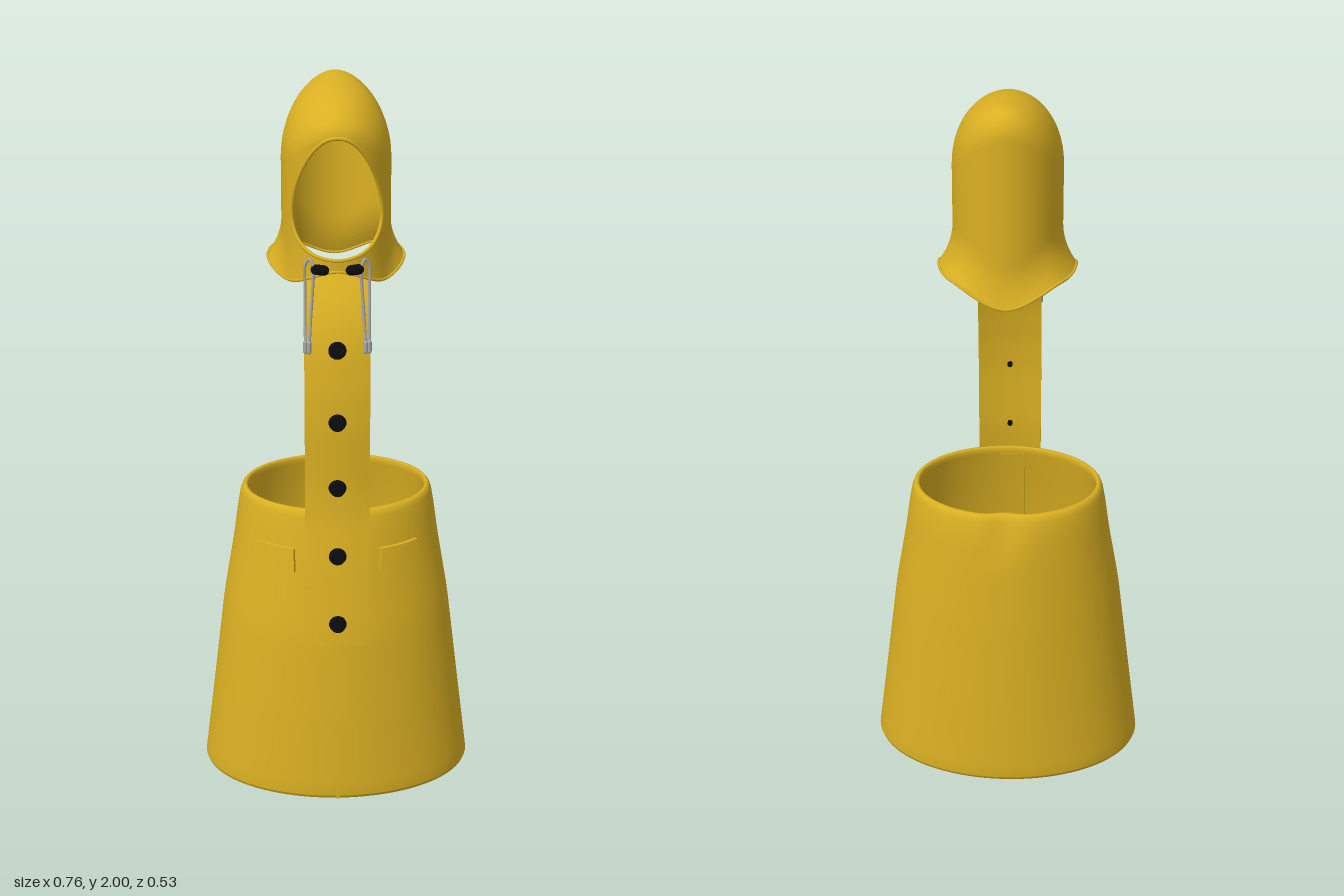
import * as THREE from 'three';
import { mergeVertices } from 'three/addons/utils/BufferGeometryUtils.js';

const mat = (name, color, side = THREE.FrontSide) => {
  const m = new THREE.MeshStandardMaterial({ color, side });
  m.name = name;
  return m;
};

// Smooth lookup in a table of [key, value] rows
function track(t, rows, smooth = false) {
  if (t <= rows[0][0]) return rows[0][1];
  for (let i = 1; i < rows.length; i++) {
    const [k0, v0] = rows[i - 1], [k1, v1] = rows[i];
    if (t <= k1) {
      let f = (t - k0) / (k1 - k0);
      if (smooth) f = f * f * (3 - 2 * f);
      return v0 + (v1 - v0) * f;
    }
  }
  return rows[rows.length - 1][1];
}

// Surface from a grid of points; coincident seam points are welded
function loft(rows) {
  const n = rows[0].length, pos = [], idx = [];
  rows.forEach(r => r.forEach(p => pos.push(...p)));
  for (let j = 0; j < rows.length - 1; j++) {
    for (let i = 0; i < n - 1; i++) {
      const a = j * n + i, b = a + 1, c = b + n, d = a + n;
      idx.push(a, b, c, a, c, d);
    }
  }
  let g = new THREE.BufferGeometry();
  g.setAttribute('position', new THREE.Float32BufferAttribute(pos, 3));
  g.setIndex(idx);
  g = mergeVertices(g, 1e-4);
  g.computeVertexNormals();
  return g;
}

// Skirt outline: half width, front depth and back depth by height
const RX = [[0, 0.38], [0.25, 0.349], [0.53, 0.315], [0.7, 0.286], [0.8, 0.272], [0.84, 0.265], [0.86, 0.258]];
const ZF = [[0, 0.267], [0.25, 0.255], [0.5, 0.238], [0.7, 0.208], [0.8, 0.192], [0.84, 0.184], [0.86, 0.176]];
const ZB = [[0, 0.265], [0.25, 0.256], [0.5, 0.246], [0.7, 0.235], [0.8, 0.226], [0.84, 0.217], [0.86, 0.208]];

function skirtPoint(a, y, out = 0) {
  const zf = track(y, ZF), zb = track(y, ZB);
  const back = Math.PI - Math.abs(a);
  const dent = 0.014 * Math.exp(-((back / 0.16) ** 2)) * track(y, [[0.7, 0], [0.84, 1]], true);
  return [Math.sin(a) * (track(y, RX) + out), y,
    (zf - zb) / 2 + Math.cos(a) * ((zf + zb) / 2 + out) + dent];
}

// Bend a box over the skirt surface: x span, y span, offset span
function skirtPatch(x0, x1, y0, y1, o0, o1) {
  const g = new THREE.BoxGeometry(1, 1, 1, 8, 10, 1), p = g.attributes.position;
  for (let i = 0; i < p.count; i++) {
    const x = x0 + (x1 - x0) * (p.getX(i) + 0.5);
    const y = y0 + (y1 - y0) * (p.getY(i) + 0.5);
    const a = Math.asin(x / track(y, RX));
    p.setXYZ(i, ...skirtPoint(a, y, o0 + (o1 - o0) * (p.getZ(i) + 0.5)));
  }
  g.computeVertexNormals();
  return g;
}

function skirtGeometry() {
  const profile = [[0.008, -0.004], [0.012, 0]];
  for (let i = 1; i <= 20; i++) profile.push([0.012 + 0.828 * i / 20, 0]);
  profile.push([0.852, 0], [0.859, -0.003], [0.86, -0.009], [0.855, -0.015], [0.84, -0.02]);
  for (let i = 1; i <= 8; i++) profile.push([0.84 - 0.83 * i / 8, -0.015]);
  profile.push([0.002, -0.014], [0, -0.009], [0.002, -0.005], [0.008, -0.004]);
  return loft(profile.map(([y, o]) => {
    const row = [];
    for (let i = 0; i <= 96; i++) row.push(skirtPoint(-Math.PI + i / 96 * 2 * Math.PI, y, o));
    return row;
  }));
}

// Hood: open face, flared collar and slanted dome
const PI = Math.PI;
const BOTTOM = [[0, 1.54], [0.33 * PI, 1.495], [0.55 * PI, 1.53], [0.7 * PI, 1.527], [PI, 1.473]];
const FLARE = [[0, 0], [0.3 * PI, 0.006], [0.52 * PI, 0.037], [0.65 * PI, 0.04], [PI, 0.02]];
const HX = 0.144, HZ = 0.166;

function hoodPoint(a, v, dome) {
  const t = Math.abs(a > PI ? a - 2 * PI : a), c = Math.cos(a);
  const bot = track(t, BOTTOM, true);
  const top = 1.8 + (c > 0 ? 0.095 : 0.13) * c * c;
  let y = bot + (top - bot) * v;
  const flare = track(t, FLARE, true) * Math.max(0, 1 - (y - bot) / 0.11) ** 2;
  const s = Math.cos(dome), apex = -0.11 * (1 - s);
  y += (2.0 - top) * Math.sin(dome);
  return [Math.sin(a) * (HX + flare) * s, y, c * (HZ + flare) * s + apex];
}

function hoodParts() {
  const rows = [], left = [], right = [];
  const addRow = (v, open, dome = 0) => {
    const row = [];
    for (let i = 0; i <= 72; i++) row.push(hoodPoint(open + i / 72 * (2 * PI - 2 * open), v, dome));
    rows.push(row);
    return row;
  };
  const v0 = 0.085;
  [0, 0.02, 0.04, 0.063].forEach(v => addRow(v, 0));
  for (let i = 0; i <= 28; i++) {
    const u = -Math.cos(i / 28 * PI);
    const w = 0.117 * Math.max(0, 1 - u * u) ** (u < 0 ? 0.58 : 0.45);
    const row = addRow(v0 + (1 - v0) * (u + 1) / 2, Math.asin(w / HX));
    left.push(new THREE.Vector3(...row[0]));
    right.push(new THREE.Vector3(...row[72]));
  }
  for (let i = 1; i <= 14; i++) addRow(1, 0, i / 14 * PI / 2);
  const loop = left.concat(right.slice(1, -1).reverse());
  const hem = new THREE.TubeGeometry(new THREE.CatmullRomCurve3(loop, true), 140, 0.005, 8, true);
  const edge = rows[0].slice(0, -1).map(p => new THREE.Vector3(...p));
  const collarHem = new THREE.TubeGeometry(new THREE.CatmullRomCurve3(edge, true), 140, 0.004, 6, true);
  return { shell: loft(rows), hem, collarHem };
}

// Front strap: depth by height, hugging the skirt and then leaning back
const STRAP = [[0.48, 0.245], [0.55, 0.236], [0.7, 0.214], [0.84, 0.19], [0.93, 0.183], [1.1, 0.183],
  [1.2, 0.177], [1.3, 0.163], [1.36, 0.149], [1.42, 0.125], [1.47, 0.095], [1.51, 0.068]];

function strapGeometry() {
  const g = new THREE.BoxGeometry(0.174, 1, 0.014, 8, 40, 1), p = g.attributes.position;
  for (let i = 0; i < p.count; i++) {
    const x = p.getX(i), y = 0.485 + (p.getY(i) + 0.5) * 1.02;
    p.setXYZ(i, x, y, track(y, STRAP) + p.getZ(i) - 1.2 * x * x);
  }
  g.computeVertexNormals();
  return g;
}

export function createModel() {
  const model = new THREE.Group();
  const yellow = mat('yellowCloth', 0xdab022, THREE.DoubleSide);
  const black = mat('blackButton', 0x0c0c0e);
  const grey = mat('greyCord', 0xa8a8a8);
  const add = (name, geo, material, parent = model) => {
    const m = new THREE.Mesh(geo, material);
    m.name = name;
    parent.add(m);
    return m;
  };

  // Skirt with its seam and inner facing
  add('skirt', skirtGeometry(), yellow);
  add('frontSeam', skirtPatch(-0.004, 0.004, 0.004, 0.49, -0.002, 0.003), yellow);
  add('innerFacing', skirtPatch(-0.045, 0.03, 0.004, 0.84, -0.022, -0.012), yellow);

  // Hood
  const { shell, hem, collarHem } = hoodParts();
  add('hood', shell, yellow);
  add('faceHem', hem, yellow);
  add('collarHem', collarHem, yellow);

  // Strap and its buttons, each with a stud through the cloth
  add('frontStrap', strapGeometry(), yellow);
  for (const y of [0.548, 0.74, 0.935, 1.125, 1.32]) {
    const button = new THREE.Group();
    button.name = 'button';
    const slope = (track(y + 0.04, STRAP) - track(y - 0.04, STRAP)) / 0.08;
    button.position.set(0, y, track(y, STRAP));
    button.rotation.x = PI / 2 + Math.atan(slope);
    add('buttonCap', new THREE.CylinderGeometry(0.02, 0.024, 0.016, 18), black, button).position.y = 0.015;
    add('buttonStud', new THREE.CylinderGeometry(0.007, 0.007, 0.03, 10), black, button).position.y = -0.002;
    model.add(button);
  }

  // Mirrored pocket flaps, collar toggles and drawcords
  for (const s of [1, -1]) {
    const [x0, x1] = s > 0 ? [0.115, 0.213] : [-0.213, -0.115];
    add('pocketFlap', skirtPatch(x0, x1, 0.685, 0.752, -0.004, 0.01), yellow);

    const toggle = add('collarToggle', new THREE.CapsuleGeometry(0.014, 0.02, 6, 12), black);
    toggle.rotation.z = PI / 2 + s * 0.12;
    toggle.position.set(s * 0.045, 1.545, 0.163);

    const path = [[0.074, 1.335, 0.176], [0.069, 1.42, 0.165], [0.063, 1.51, 0.162], [0.062, 1.555, 0.163],
      [0.072, 1.572, 0.155], [0.083, 1.555, 0.15], [0.084, 1.5, 0.148], [0.084, 1.42, 0.158], [0.084, 1.335, 0.172]]
      .map(([x, y, z]) => new THREE.Vector3(s * x, y, z));
    add('drawcord', new THREE.TubeGeometry(new THREE.CatmullRomCurve3(path), 60, 0.004, 8), grey);
    for (const end of [path[0], path[8]]) {
      add('cordTip', new THREE.CapsuleGeometry(0.006, 0.025, 4, 10), grey).position.copy(end);
    }
  }
  return model;
}
